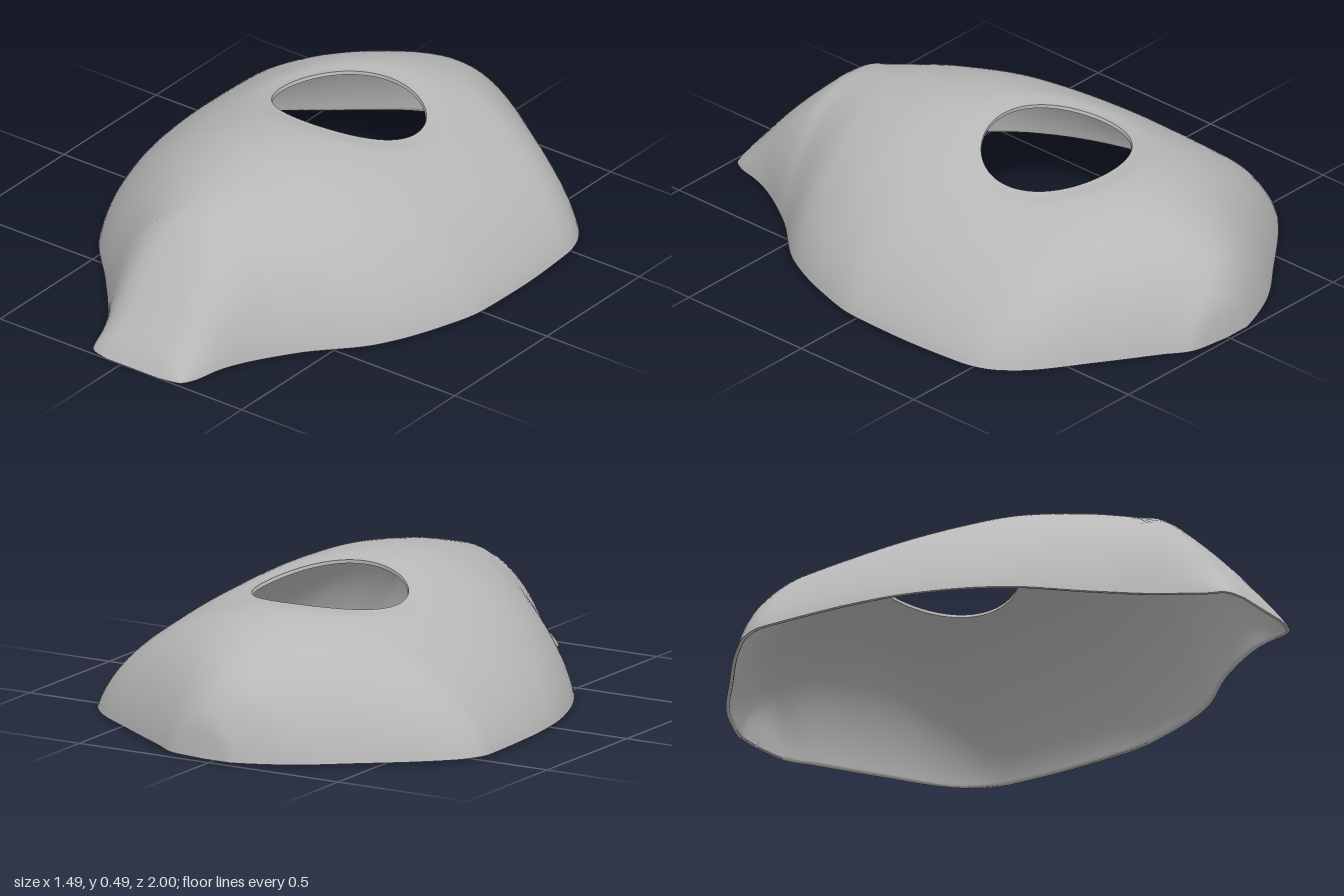
import * as THREE from 'three';

// Smooth monotone interpolation through [z, value] pairs
function smoothTable(pts) {
  const n = pts.length, d = [], m = [];
  for (let i = 0; i < n - 1; i++) d.push((pts[i + 1][1] - pts[i][1]) / (pts[i + 1][0] - pts[i][0]));
  for (let i = 0; i < n; i++) {
    const a = d[Math.max(i - 1, 0)], b = d[Math.min(i, n - 2)];
    m.push(a * b <= 0 ? 0 : (2 * a * b) / (a + b));
  }
  return (z) => {
    let i = 0;
    while (i < n - 2 && z > pts[i + 1][0]) i++;
    const h = pts[i + 1][0] - pts[i][0];
    const t = THREE.MathUtils.clamp((z - pts[i][0]) / h, 0, 1), s = 1 - t;
    return pts[i][1] * (1 + 2 * t) * s * s + pts[i + 1][1] * t * t * (3 - 2 * t)
      + h * (m[i] * t * s * s - m[i + 1] * t * t * s);
  };
}

// Plan outline, left and right edge of the shell, and height of the ridge
const edgeA = smoothTable([[-1, -0.08], [-0.98, -0.14], [-0.92, -0.27], [-0.8, -0.43], [-0.63, -0.64],
  [-0.54, -0.72], [-0.46, -0.75], [-0.2, -0.74], [0, -0.715], [0.2, -0.655], [0.4, -0.55], [0.6, -0.37],
  [0.8, -0.21], [0.9, -0.16], [0.96, -0.145], [0.985, -0.12], [1, -0.06]]);
const edgeB = smoothTable([[-1, 0.02], [-0.98, 0.15], [-0.92, 0.24], [-0.8, 0.42], [-0.64, 0.64],
  [-0.54, 0.71], [-0.46, 0.73], [-0.2, 0.745], [0, 0.74], [0.2, 0.69], [0.4, 0.6], [0.6, 0.43],
  [0.8, 0.31], [0.9, 0.275], [0.96, 0.25], [0.985, 0.23], [1, 0.16]]);
const ridge = smoothTable([[-1, 0.01], [-0.995, 0.09], [-0.98, 0.15], [-0.95, 0.21], [-0.9, 0.27],
  [-0.8, 0.345], [-0.7, 0.39], [-0.6, 0.42], [-0.46, 0.44], [-0.23, 0.468], [0, 0.485], [0.17, 0.49],
  [0.4, 0.46], [0.6, 0.41], [0.65, 0.395], [0.68, 0.37], [0.8, 0.25], [0.9, 0.135], [0.97, 0.05], [1, 0]]);

const HOLE = { x: 0.005, z: -0.23, rx: 0.267, rz: 0.232 };
const WALL = 0.012, STEPS = 90, RINGS = 44;

// Arched cross-section, squarer along the spout at the front
function heightAt(x, z, rimDistance) {
  const a = edgeA(z), b = edgeB(z);
  const u = Math.min(1, Math.abs((2 * x - a - b) / (b - a)));
  const k = 2 + 1.6 * THREE.MathUtils.smoothstep(z, 0.6, 0.85);
  const base = 0.01 * (1 - THREE.MathUtils.smoothstep(z, 0.85, 0.95));
  const y = ridge(z) * Math.pow(1 - Math.pow(u, k), 0.72);
  return Math.max(base, y - 0.015 * Math.exp(-((rimDistance / 0.05) ** 2)));
}

function outlinePoints() {
  const pts = [];
  const zAt = (i) => -Math.cos((Math.PI * i) / STEPS);
  const across = (z, from, to) => {
    for (let i = 1; i < 6; i++) pts.push([from + ((to - from) * i) / 6, z]);
  };
  for (let i = 0; i <= STEPS; i++) pts.push([edgeA(zAt(i)), zAt(i)]);
  across(1, edgeA(1), edgeB(1));
  for (let i = STEPS; i >= 0; i--) pts.push([edgeB(zAt(i)), zAt(i)]);
  across(-1, edgeB(-1), edgeA(-1));
  return pts;
}

function makeGeometry(positions, index) {
  const g = new THREE.BufferGeometry();
  g.setAttribute('position', new THREE.Float32BufferAttribute(positions, 3));
  g.setIndex(index);
  g.computeVertexNormals();
  return g;
}

export function createModel() {
  const group = new THREE.Group();
  group.name = 'hollowShell';
  const grey = new THREE.MeshStandardMaterial({ color: 0xb8b8b8 });
  grey.name = 'grey';
  const add = (geometry, name) => {
    const mesh = new THREE.Mesh(geometry, grey);
    mesh.name = name;
    group.add(mesh);
  };

  // Rings running from the opening out to the base edge
  const outline = outlinePoints(), n = outline.length;
  const outer = [];
  for (let r = 0; r <= RINGS; r++) {
    const t = (1 - Math.cos((Math.PI * r) / RINGS)) / 2;
    for (const [ox, oz] of outline) {
      const angle = Math.atan2((oz - HOLE.z) / HOLE.rz, (ox - HOLE.x) / HOLE.rx);
      const hx = HOLE.x + HOLE.rx * Math.cos(angle), hz = HOLE.z + HOLE.rz * Math.sin(angle);
      const x = hx + (ox - hx) * t, z = hz + (oz - hz) * t;
      outer.push(x, heightAt(x, z, Math.hypot(x - hx, z - hz)), z);
    }
  }
  const index = [], flipped = [];
  for (let r = 0; r < RINGS; r++) {
    for (let j = 0; j < n; j++) {
      const a = r * n + j, b = r * n + ((j + 1) % n), c = a + n, d = b + n;
      index.push(a, c, d, a, d, b);
      flipped.push(a, d, c, a, b, d);
    }
  }
  const outerGeometry = makeGeometry(outer, index);
  add(outerGeometry, 'outerSurface');

  // Inner wall, offset along the normals
  const normals = outerGeometry.attributes.normal.array;
  const inner = outer.map((v, i) => v - normals[i] * WALL);
  for (let i = 1; i < inner.length; i += 3) inner[i] = Math.max(inner[i], Math.min(outer[i], 0.01));
  add(makeGeometry(inner, flipped), 'innerSurface');

  // Narrow bands closing the wall at the opening and the base
  const band = (ring, outward, name) => {
    const pos = [], idx = [];
    for (let j = 0; j < n; j++) {
      const k = (ring * n + j) * 3;
      pos.push(...outer.slice(k, k + 3), ...inner.slice(k, k + 3));
      const a = 2 * j, b = 2 * ((j + 1) % n);
      if (outward) idx.push(a, a + 1, b + 1, a, b + 1, b);
      else idx.push(a, b + 1, a + 1, a, b, b + 1);
    }
    add(makeGeometry(pos, idx), name);
  };
  band(0, false, 'openingRim');
  band(RINGS, true, 'baseRim');
  return group;
}
